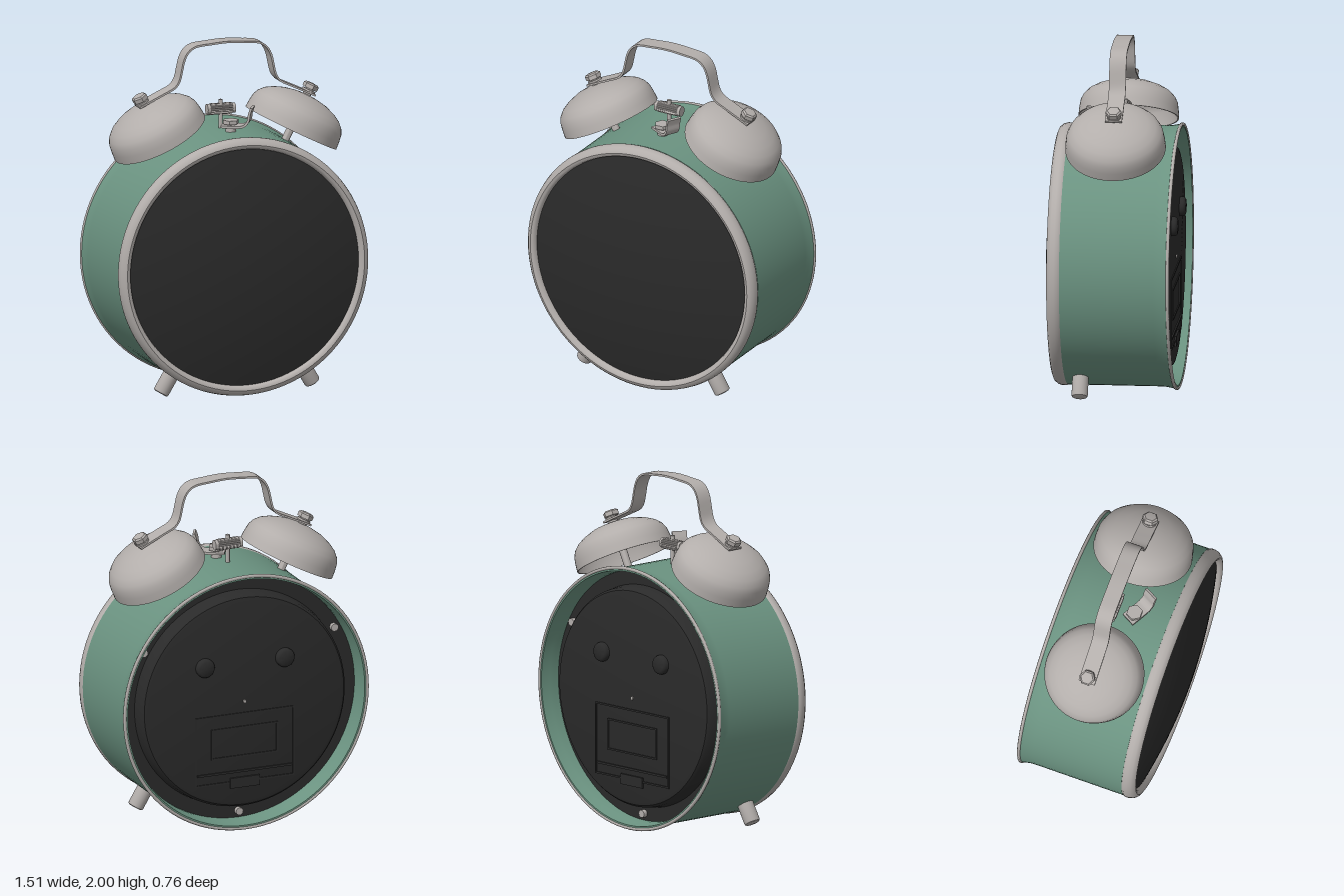
import * as THREE from 'three';
import { toCreasedNormals } from 'three/addons/utils/BufferGeometryUtils.js';

const metal = new THREE.MeshStandardMaterial({ color: 0xb3aeab });
metal.name = 'brushed metal';
const green = new THREE.MeshStandardMaterial({ color: 0x6b9381 });
green.name = 'green enamel';
const black = new THREE.MeshStandardMaterial({ color: 0x2a2a2a });
black.name = 'black plastic';

const CY = 0.757; // height of the case axis
const BZ = -0.038; // depth of the bells and handle
const TILT = THREE.MathUtils.degToRad(27);

function add(parent, name, geometry, material, x = 0, y = 0, z = 0) {
  const mesh = new THREE.Mesh(geometry, material);
  mesh.name = name;
  mesh.position.set(x, y, z);
  parent.add(mesh);
  return mesh;
}

function addGroup(parent, name, x = 0, y = 0, z = 0) {
  const group = new THREE.Group();
  group.name = name;
  group.position.set(x, y, z);
  parent.add(group);
  return group;
}

// Profile of [radius, height] turned around y
function turned(points, segments = 48) {
  const g = new THREE.LatheGeometry(points.map(([r, h]) => new THREE.Vector2(r, h)), segments);
  return toCreasedNormals(g, 0.6);
}

// The same, turned around z (height becomes z)
const turnedZ = (points, segments = 96) => turned(points, segments).rotateX(Math.PI / 2);

const disc = (r, h, sides = 24) => toCreasedNormals(new THREE.CylinderGeometry(r, r, h, sides), 0.6);

// Strip of constant thickness following a line in the xy plane
function strap(points, thickness, width) {
  const curve = new THREE.CatmullRomCurve3(points.map(([x, y]) => new THREE.Vector3(x, y, 0)), false, 'centripetal');
  const outer = [], inner = [];
  for (let i = 0; i <= 60; i++) {
    const p = curve.getPointAt(i / 60), t = curve.getTangentAt(i / 60);
    outer.push(new THREE.Vector2(p.x, p.y));
    inner.unshift(new THREE.Vector2(p.x + t.y * thickness, p.y - t.x * thickness));
  }
  const g = new THREE.ExtrudeGeometry(new THREE.Shape([...outer, ...inner]), { depth: width, bevelEnabled: false });
  return toCreasedNormals(g.translate(0, 0, -width / 2), 0.6);
}

function buildCase(root) {
  const body = addGroup(root, 'case', 0, CY, 0);
  add(body, 'caseShell', turnedZ([
    [0.727, -0.368], [0.75, -0.368], [0.745, -0.35], [0.737, -0.31], [0.735, -0.28],
    [0.735, 0.25], [0.715, 0.25], [0.715, -0.28], [0.72, -0.31], [0.727, -0.368],
  ]), green);
  add(body, 'backRim', new THREE.TorusGeometry(0.744, 0.01, 8, 96), metal, 0, 0, -0.363);

  // Rounded ring around the glass
  add(body, 'bezel', turnedZ([
    [0.68, 0.245], [0.72, 0.245], [0.733, 0.25], [0.74, 0.262], [0.74, 0.28], [0.734, 0.302],
    [0.72, 0.319], [0.705, 0.325], [0.693, 0.322], [0.683, 0.312], [0.678, 0.295], [0.68, 0.245],
  ]), metal);

  // Shallow domed front
  const dome = [];
  for (let i = 0; i <= 14; i++) {
    const r = 0.682 * (1 - i / 14);
    dome.push([r, 0.38 - r * r / 5.5]);
  }
  add(body, 'frontGlass', turnedZ(dome), black);
}

function buildBack(root) {
  const back = addGroup(root, 'back', 0, CY, 0);
  add(back, 'backPlate', turnedZ([
    [0, -0.342], [0.59, -0.342], [0.612, -0.336], [0.625, -0.32], [0.635, -0.25], [0.72, -0.25], [0.72, -0.23], [0, -0.23],
  ]), black);

  for (const s of [-1, 1]) {
    add(back, 'settingKnob', turnedZ([
      [0, -0.378], [0.04, -0.376], [0.05, -0.37], [0.055, -0.36], [0.055, -0.335],
    ], 28), black, s * 0.245, 0.23, 0);
  }

  for (const degrees of [30, 150, 270]) {
    const a = THREE.MathUtils.degToRad(degrees);
    add(back, 'plateScrew', disc(0.022, 0.03, 16).rotateX(Math.PI / 2), metal,
      0.675 * Math.cos(a), 0.675 * Math.sin(a), -0.26);
  }
  add(back, 'centreScrew', disc(0.01, 0.01, 12).rotateX(Math.PI / 2), metal, 0, 0, -0.345);

  // Battery door: raised outlines, ledge and latch
  const door = addGroup(back, 'batteryDoor', 0, 0, -0.344);
  const frame = (name, w, top, bottom, t) => {
    const h = top - bottom, mid = (top + bottom) / 2;
    for (const s of [-1, 1]) {
      add(door, name, new THREE.BoxGeometry(t, h, 0.008), black, s * w / 2, mid, 0);
      add(door, name, new THREE.BoxGeometry(w + t, t, 0.008), black, 0, mid + s * h / 2, 0);
    }
  };
  frame('doorOutline', 0.6, -0.07, -0.47, 0.01);
  frame('doorPanelOutline', 0.4, -0.15, -0.32, 0.01);
  add(door, 'doorLedge', new THREE.BoxGeometry(0.58, 0.012, 0.012), black, 0, -0.41, 0);
  add(door, 'doorLatch', new THREE.BoxGeometry(0.18, 0.06, 0.018), black, 0, -0.475, 0);
}

function buildLegs(root) {
  for (const s of [-1, 1]) {
    const leg = add(root, 'leg', turned([
      [0, -0.09], [0.036, -0.09], [0.043, -0.086], [0.046, -0.078], [0.046, 0.09], [0, 0.09],
    ], 24), metal, s * 0.407, 0.113, 0.16);
    leg.rotation.z = s * 0.54;
  }
}

function buildBells(root) {
  const shell = metal;
  for (const s of [-1, 1]) {
    const bell = addGroup(root, 'bell', s * 0.39, 1.465, BZ);
    bell.rotation.z = -s * TILT;
    // Hollow cup with a slim wall
    add(bell, 'bellCup', turned([
      [0.276, 0], [0.283, 0], [0.28, 0.045], [0.274, 0.085], [0.26, 0.115], [0.232, 0.145], [0.19, 0.17],
      [0.13, 0.193], [0.06, 0.206], [0, 0.21],
      [0, 0.202], [0.06, 0.198], [0.13, 0.185], [0.185, 0.163], [0.227, 0.138], [0.254, 0.11], [0.268, 0.08], [0.276, 0],
    ], 64), shell);
    add(bell, 'bellPost', disc(0.022, 0.33), metal, 0, 0.04, 0);
    add(bell, 'washer', disc(0.04, 0.012), metal, 0, 0.234, 0);
    add(bell, 'boltNeck', disc(0.025, 0.05), metal, 0, 0.235, 0);
    add(bell, 'boltHead', turned([
      [0, 0.246], [0.045, 0.246], [0.046, 0.27], [0.036, 0.278], [0, 0.282],
    ], 6), metal);
  }
}

function buildHandle(root) {
  const side = [[0.525, 1.655], [0.47, 1.682], [0.38, 1.724], [0.315, 1.757], [0.292, 1.79], [0.277, 1.85],
    [0.264, 1.905], [0.241, 1.95], [0.2, 1.981], [0.1, 1.994]];
  const path = [...side.map(([x, y]) => [-x, y]), [0, 2.0], ...side.slice().reverse()];
  add(root, 'handle', strap(path, 0.011, 0.095), metal, 0, 0, BZ);
}

function buildHammer(root) {
  const hammer = addGroup(root, 'hammer', -0.022, 1.602, -0.055);
  // Ribbed striker lying across the clock
  const ring = [];
  for (let i = 0; i < 40; i++) {
    const a = i / 40 * Math.PI * 2, r = i % 2 ? 0.028 : 0.033;
    ring.push(new THREE.Vector2(r * Math.cos(a), r * Math.sin(a)));
  }
  const ribs = new THREE.ExtrudeGeometry(new THREE.Shape(ring), { depth: 0.13, bevelEnabled: false });
  add(hammer, 'strikerGrip', ribs.translate(0, 0, -0.065).rotateY(Math.PI / 2), metal);
  add(hammer, 'strikerCore', disc(0.029, 0.166).rotateZ(Math.PI / 2), metal);
  add(hammer, 'hammerStem', disc(0.012, 0.18, 16), metal, 0, -0.037, 0);
}

function buildSwitch(root) {
  const alarm = addGroup(root, 'alarmSwitch', 0, 1.49, 0.056);
  alarm.rotation.y = -0.5;
  add(alarm, 'switchPost', disc(0.03, 0.06), metal, 0, 0.01, 0);
  add(alarm, 'switchNut', disc(0.046, 0.022, 6), metal, 0, 0.057, 0);
  // Flat lever curling up at its end
  add(alarm, 'switchLever', strap([
    [-0.05, 0.04], [0.04, 0.04], [0.075, 0.045], [0.098, 0.07], [0.106, 0.11], [0.118, 0.148],
  ], 0.014, 0.085), metal);
}

export function createModel() {
  const root = new THREE.Group();
  root.name = 'alarmClock';
  buildCase(root);
  buildBack(root);
  buildLegs(root);
  buildBells(root);
  buildHandle(root);
  buildHammer(root);
  buildSwitch(root);
  return root;
}
